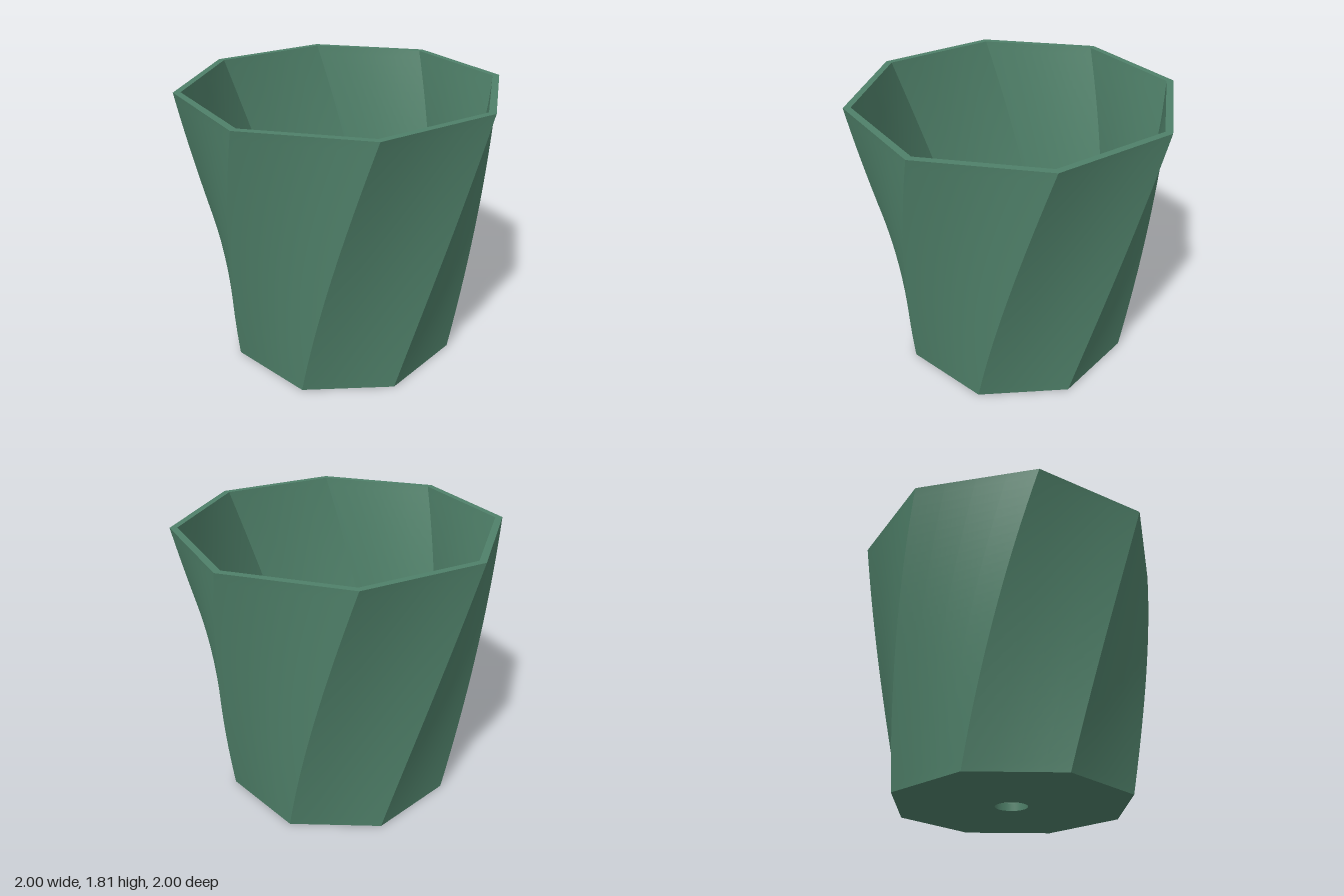
import * as THREE from 'three';
import { mergeGeometries } from 'three/addons/utils/BufferGeometryUtils.js';

const SIDES = 8;
const HEIGHT = 1.81;
const FLOOR = 0.05;
const TWIST = Math.PI / 6;
const HOLE = 0.105;
const STEP = (Math.PI * 2) / SIDES;

// Corner of the octagon, with the angle measured from +z towards +x
function corner(i, radius, twist) {
  const a = i * STEP + twist;
  return new THREE.Vector2(radius * Math.sin(a), radius * Math.cos(a));
}

// Eight twisted side panels between two heights, sharp at the ridges
function twistedWall(y0, y1, r0, r1, inward) {
  const panels = [];
  for (let i = 0; i < SIDES; i++) {
    const panel = new THREE.PlaneGeometry(1, 1, 4, 30);
    const pos = panel.attributes.position;
    for (let k = 0; k < pos.count; k++) {
      const u = inward ? 0.5 - pos.getX(k) : pos.getX(k) + 0.5;
      const v = pos.getY(k) + 0.5;
      const r = THREE.MathUtils.lerp(r0, r1, v);
      const p = corner(i, r, TWIST * v).lerp(corner(i + 1, r, TWIST * v), u);
      pos.setXYZ(k, p.x, THREE.MathUtils.lerp(y0, y1, v), p.y);
    }
    panel.computeVertexNormals();
    panels.push(panel);
  }
  return mergeGeometries(panels);
}

// Flat octagon with an opening, laid level facing up or down
function plate(radius, twist, opening, y, up) {
  const flip = up ? -1 : 1;
  const points = [];
  for (let i = 0; i < SIDES; i++) {
    const p = corner(i, radius, twist);
    points.push(new THREE.Vector2(p.x, p.y * flip));
  }
  const shape = new THREE.Shape(points);
  shape.holes.push(new THREE.Path(opening.map((p) => new THREE.Vector2(p.x, p.y * flip))));
  const geo = new THREE.ShapeGeometry(shape);
  geo.rotateX((flip * Math.PI) / 2);
  geo.translate(0, y, 0);
  return geo;
}

export function createModel() {
  const group = new THREE.Group();
  group.name = 'planter';
  const green = new THREE.MeshStandardMaterial({ color: 0x4f8069 });
  green.name = 'sage green';

  const add = (name, geometry) => {
    const mesh = new THREE.Mesh(geometry, green);
    mesh.name = name;
    group.add(mesh);
  };

  // Walls
  add('outerWall', twistedWall(0, HEIGHT, 0.777, 1.034, false));
  add('innerWall', twistedWall(FLOOR, HEIGHT, 0.735, 0.988, true));

  // Rim joining both walls
  const innerRim = [];
  for (let i = 0; i < SIDES; i++) innerRim.push(corner(i, 0.988, TWIST));
  add('rim', plate(1.034, TWIST, innerRim, HEIGHT, true));

  // Floor and underside with the drain hole
  const hole = new THREE.Path().absarc(0, 0, HOLE, 0, Math.PI * 2).getSpacedPoints(40).slice(0, 40);
  add('floor', plate(0.735, 0, hole, FLOOR, true));
  add('underside', plate(0.777, 0, hole, 0, false));
  add('drainHole', new THREE.LatheGeometry(
    [new THREE.Vector2(HOLE, FLOOR), new THREE.Vector2(HOLE, 0)], 40));

  return group;
}
